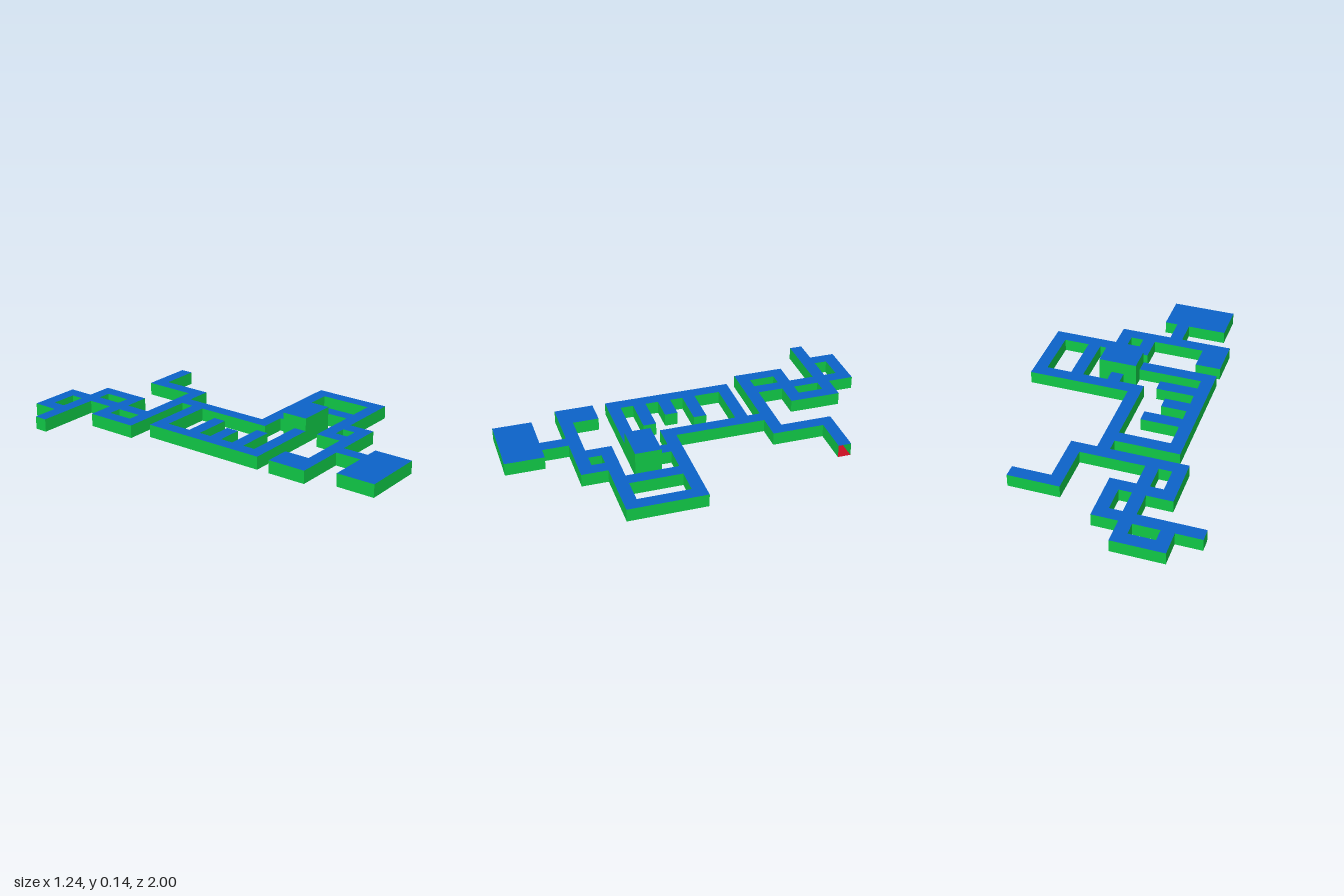
import * as THREE from 'three';
import { mergeGeometries } from 'three/addons/utils/BufferGeometryUtils.js';

// The maze lies on an 18 x 29 grid of square cells.
const COLS = 18, ROWS = 29, U = 2 / ROWS;

// Areas of the maze as rectangles: [first column, first row, last column, last row]
const areas = {
  backLoops: [
    [2, 0, 5, 0], [2, 0, 2, 2], [5, 0, 5, 8], [0, 2, 7, 2],
    [7, 2, 7, 5], [3, 5, 7, 5], [3, 5, 3, 8], [3, 8, 11, 8],
  ],
  entrancePassage: [[11, 4, 11, 7], [11, 4, 14, 4]],
  mainPassage: [[9, 9, 9, 16], [4, 10, 8, 10], [4, 10, 4, 19], [4, 19, 9, 19]],
  deadEnds: [[5, 13, 7, 13], [5, 15, 6, 15], [5, 17, 7, 17]],
  tallRoom: [[10, 18, 12, 19]],
  sideLoops: [[10, 16, 17, 16], [11, 17, 11, 17], [14, 17, 14, 20], [17, 17, 17, 20], [10, 21, 17, 21]],
  frontPassage: [[10, 22, 10, 22], [12, 22, 12, 22], [6, 23, 12, 23], [8, 24, 8, 25]],
  smallRoom: [[4, 21, 5, 23]],
  frontRoom: [[5, 26, 9, 28]],
};

const paint = (color) => new THREE.MeshStandardMaterial({ color, side: THREE.DoubleSide });
const materials = { floor: paint(0xc80f22), walls: paint(0x10c846), ceiling: paint(0x0c62c8) };

// Horizontal cell face, facing up or down
function slab(c, r, level, up) {
  return new THREE.PlaneGeometry(U, U)
    .rotateX(up ? -Math.PI / 2 : Math.PI / 2)
    .translate((c + 0.5 - COLS / 2) * U, level * U, (r + 0.5 - ROWS / 2) * U);
}

// Upright cell face on the side (dx, dz), facing outward
function wall(c, r, dx, dz, low, high) {
  return new THREE.PlaneGeometry(U, (high - low) * U)
    .rotateY(Math.atan2(dx, dz))
    .translate(
      (c + 0.5 + dx / 2 - COLS / 2) * U,
      (low + high) / 2 * U,
      (r + 0.5 + dz / 2 - ROWS / 2) * U,
    );
}

export function createModel() {
  const model = new THREE.Group();
  model.name = 'hollowMaze';

  // Height and owning area of every occupied cell
  const cells = new Map();
  for (const [area, rects] of Object.entries(areas)) {
    const height = area === 'tallRoom' ? 2 : 1;
    for (const [c0, r0, c1, r1] of rects)
      for (let c = c0; c <= c1; c++)
        for (let r = r0; r <= r1; r++)
          if (!cells.has(`${c},${r}`)) cells.set(`${c},${r}`, { c, r, area, height });
  }

  for (const area of Object.keys(areas)) {
    const parts = { floor: [], walls: [], ceiling: [] };
    for (const { c, r, area: owner, height } of cells.values()) {
      if (owner !== area) continue;
      parts.floor.push(slab(c, r, 0, false));
      parts.ceiling.push(slab(c, r, height, true));
      for (const [dx, dz] of [[1, 0], [-1, 0], [0, 1], [0, -1]]) {
        // the entrance is left open
        if (c === 14 && r === 4 && dx === 1) continue;
        const next = cells.get(`${c + dx},${r + dz}`)?.height ?? 0;
        if (next < height) parts.walls.push(wall(c, r, dx, dz, next, height));
      }
    }
    const group = new THREE.Group();
    group.name = area;
    for (const [name, list] of Object.entries(parts)) {
      if (!list.length) continue;
      const mesh = new THREE.Mesh(mergeGeometries(list), materials[name]);
      mesh.name = name;
      group.add(mesh);
    }
    model.add(group);
  }
  return model;
}
